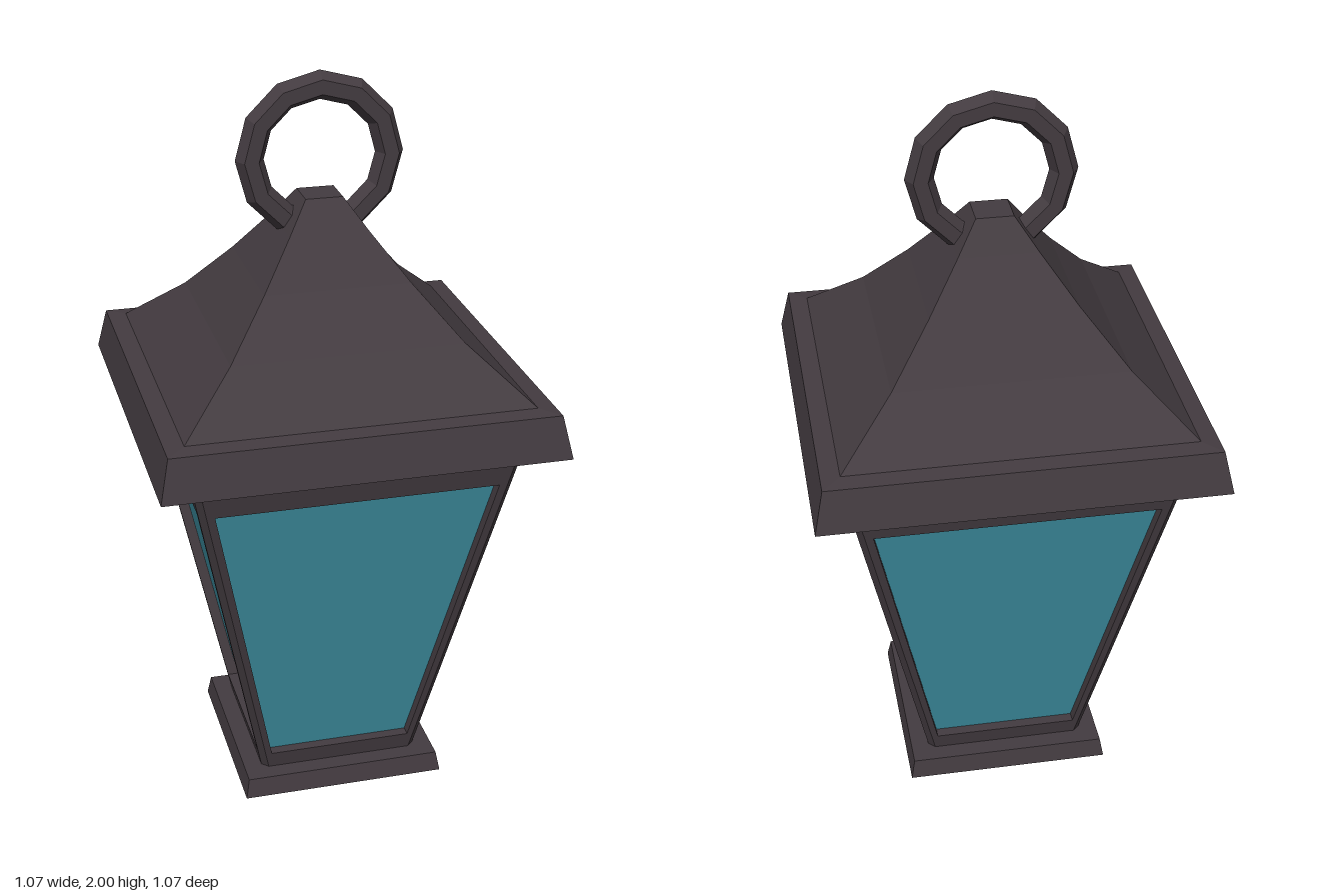
import * as THREE from 'three';

const metal = new THREE.MeshStandardMaterial({ color: 0x433b40, flatShading: true });
metal.name = 'dark metal';
const glass = new THREE.MeshStandardMaterial({ color: 0x3d8ea0, flatShading: true });
glass.name = 'teal glass';

function part(name, geometry, material) {
  const mesh = new THREE.Mesh(geometry, material);
  mesh.name = name;
  return mesh;
}

// Square solid from a profile of [half width, height], bottom to top
function squareLoft(profile) {
  const points = profile.map(([half, y]) => new THREE.Vector2(half * Math.SQRT2, y));
  return new THREE.LatheGeometry(points, 4, Math.PI / 4);
}

// Geometry from four-cornered faces, corners anticlockwise from outside
function quads(list) {
  const positions = [];
  for (const [a, b, c, d] of list) positions.push(...a, ...b, ...c, ...a, ...c, ...d);
  const geometry = new THREE.BufferGeometry();
  geometry.setAttribute('position', new THREE.Float32BufferAttribute(positions, 3));
  geometry.computeVertexNormals();
  return geometry;
}

// Tapering body: half width at a height
const BOTTOM = 0.055, TOP = 1.045, CHAMFER = 0.018, RECESS = 0.03;
const half = (y) => 0.225 + (y - BOTTOM) * (0.435 - 0.225) / (TOP - BOTTOM);

// Four corners of a trapezoid lying on a sloping side of the body
function trapezoid(y0, w0, y1, w1, depth) {
  const z0 = half(y0) - depth, z1 = half(y1) - depth;
  return [[-w0, y0, z0], [w0, y0, z0], [w1, y1, z1], [-w1, y1, z1]];
}

// Faces joining an outer loop to an inner loop
function band(outer, inner) {
  return outer.map((p, i) => {
    const j = (i + 1) % outer.length;
    return [p, outer[j], inner[j], inner[i]];
  });
}

function createSide() {
  const side = new THREE.Group();
  const outer = trapezoid(BOTTOM, half(BOTTOM) - CHAMFER, TOP, half(TOP) - CHAMFER, 0);
  const opening = trapezoid(0.105, 0.2, 0.975, 0.38, 0);
  const pane = trapezoid(0.105, 0.2, 0.975, 0.38, RECESS);
  // Chamfered corner post edge to the next side
  const [, b, t] = outer;
  const post = [b, [b[2], b[1], b[0]], [t[2], t[1], t[0]], t];
  side.add(
    part('windowFrame', quads([...band(outer, opening), ...band(opening, pane), post]), metal),
    part('windowPane', quads([pane]), glass)
  );
  return side;
}

export function createModel() {
  const lantern = new THREE.Group();
  lantern.name = 'lantern';

  // Foot plate
  lantern.add(part('base', squareLoft([[0, 0], [0.285, 0], [0.275, 0.055], [0, 0.055]]), metal));

  // Four glazed sides
  for (let i = 0; i < 4; i++) {
    const side = createSide();
    side.name = 'side' + (i + 1);
    side.rotation.y = i * Math.PI / 2;
    lantern.add(side);
  }

  // Eaves with sloping underside
  lantern.add(part('eaves', squareLoft([
    [0, 1.04], [0.43, 1.04], [0.535, 1.085], [0.51, 1.2], [0.46, 1.205], [0, 1.205]
  ]), metal));

  // Concave hipped roof
  lantern.add(part('roof', squareLoft([
    [0.46, 1.205], [0.31, 1.34], [0.196, 1.475], [0.106, 1.595], [0.05, 1.675], [0, 1.675]
  ]), metal));

  // Hanging ring
  const ring = part('hangingRing', new THREE.TorusGeometry(0.187, 0.038, 6, 12), metal);
  ring.position.y = 1.775;
  lantern.add(ring);

  return lantern;
}
